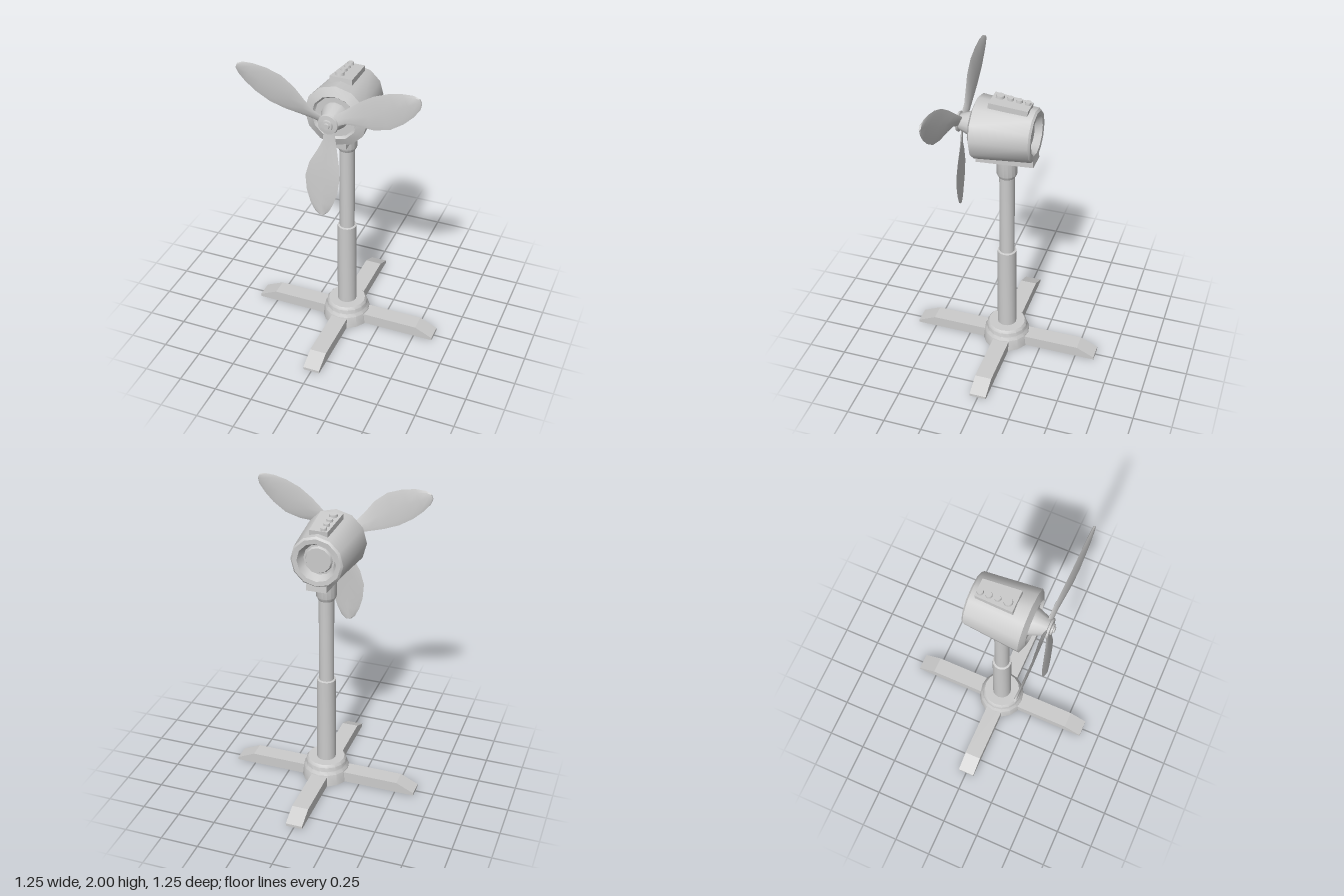
import * as THREE from 'three';
import { toCreasedNormals } from 'three/addons/utils/BufferGeometryUtils.js';

const material = new THREE.MeshStandardMaterial({ color: 0xcccccc });
const HUB_Y = 1.67;

function add(parent, name, geometry) {
  const mesh = new THREE.Mesh(geometry, material);
  mesh.name = name;
  parent.add(mesh);
  return mesh;
}

// Turned part from [radius, height] pairs, listed bottom to top
function turned(points, sides, crease = 0.6) {
  const profile = points.map(([r, y]) => new THREE.Vector2(r, y));
  return toCreasedNormals(new THREE.LatheGeometry(profile, sides), crease);
}

function outline(points) {
  return new THREE.Shape(points.map(([x, y]) => new THREE.Vector2(x, y)));
}

// Blade hanging down from the hub, lofted from thin lens cross-sections
function bladeGeometry() {
  // distance from hub, left edge, right edge, z, pitch
  const stations = [
    [0.03, -0.028, 0.028, 0.288, 0.4],
    [0.11, -0.033, 0.038, 0.292, 0.32],
    [0.18, -0.065, 0.05, 0.3, 0.2],
    [0.27, -0.115, 0.066, 0.31, 0.12],
    [0.37, -0.142, 0.073, 0.317, 0.08],
    [0.47, -0.134, 0.06, 0.321, 0.07],
    [0.55, -0.112, 0.035, 0.324, 0.07],
    [0.61, -0.083, 0.006, 0.325, 0.07],
    [0.635, -0.055, -0.02, 0.326, 0.07],
  ];
  const ring = 8;
  const positions = [];
  const index = [];
  stations.forEach(([u, left, right, z, pitch]) => {
    const mid = (left + right) / 2;
    const half = (right - left) / 2;
    for (let j = 0; j < ring; j++) {
      const a = (j / ring) * Math.PI * 2;
      const v = half * Math.cos(a);
      positions.push(mid + v, -u, z - pitch * v + 0.007 * Math.sin(a));
    }
  });
  for (let i = 0; i < stations.length - 1; i++) {
    for (let j = 0; j < ring; j++) {
      const a = i * ring + j;
      const b = i * ring + (j + 1) % ring;
      index.push(a, b, a + ring, b, b + ring, a + ring);
    }
  }
  // Root and tip caps; the section runs from right edge over the front to the left
  const last = (stations.length - 1) * ring;
  for (let j = 1; j < ring - 1; j++) {
    index.push(0, j + 1, j, last, last + j, last + j + 1);
  }
  // The loft runs downward, so reverse every face to point outward
  for (let k = 0; k < index.length; k += 3) {
    [index[k + 1], index[k + 2]] = [index[k + 2], index[k + 1]];
  }
  const geometry = new THREE.BufferGeometry();
  geometry.setAttribute('position', new THREE.Float32BufferAttribute(positions, 3));
  geometry.setIndex(index);
  return orientOutward(toCreasedNormals(geometry, 0.7));
}

// Flip a closed shell if its signed volume is negative
function orientOutward(geometry) {
  const p = geometry.attributes.position;
  const [a, b, c] = [0, 1, 2].map(() => new THREE.Vector3());
  let volume = 0;
  for (let i = 0; i < p.count; i += 3) {
    a.fromBufferAttribute(p, i);
    b.fromBufferAttribute(p, i + 1);
    c.fromBufferAttribute(p, i + 2);
    volume += a.dot(b.cross(c));
  }
  if (volume < 0) {
    for (let i = 0; i < p.count; i += 3) {
      b.fromBufferAttribute(p, i + 1);
      c.fromBufferAttribute(p, i + 2);
      p.setXYZ(i + 1, c.x, c.y, c.z);
      p.setXYZ(i + 2, b.x, b.y, b.z);
    }
    return toCreasedNormals(geometry, 0.7);
  }
  return geometry;
}

export function createModel() {
  const model = new THREE.Group();
  model.name = 'pedestalFan';

  // Base: stepped collar with four bevelled feet
  const base = new THREE.Group();
  base.name = 'base';
  model.add(base);
  add(base, 'baseCollar', turned([
    [0, 0], [0.16, 0], [0.152, 0.08], [0.137, 0.1], [0.135, 0.13], [0.122, 0.147], [0, 0.147],
  ], 16));
  const footShape = outline([[0.05, 0], [0.627, 0], [0.627, 0.018], [0.51, 0.073], [0.05, 0.073]]);
  const footGeometry = new THREE.ExtrudeGeometry(footShape, { depth: 0.11, bevelEnabled: false });
  footGeometry.translate(0, 0, -0.055);
  for (let i = 0; i < 4; i++) {
    add(base, 'foot', footGeometry).rotation.y = (i * Math.PI) / 2;
  }

  // Telescopic pole and the neck that carries the head
  add(model, 'lowerPole', turned([[0.064, 0.12], [0.062, 0.75], [0.048, 0.754]], 16));
  add(model, 'upperPole', turned([[0.049, 0.72], [0.049, 1.36]], 16));
  add(model, 'neck', turned([[0.045, 1.33], [0.052, 1.33], [0.065, 1.355], [0.065, 1.5]], 16));

  // Motor housing with recessed ends
  const head = new THREE.Group();
  head.name = 'head';
  model.add(head);
  const housing = add(head, 'motorHousing', turned([
    [0, -0.15], [0.08, -0.15], [0.088, -0.135], [0.1, -0.135], [0.125, -0.188],
    [0.155, -0.19], [0.168, -0.178], [0.201, 0.182], [0.145, 0.207], [0.132, 0.19], [0, 0.19],
  ], 12).rotateX(Math.PI / 2));
  housing.position.y = 1.66;

  // Mounting block under the housing
  const block = add(head, 'mountingBlock', new THREE.BoxGeometry(0.13, 0.07, 0.37));
  block.position.set(0, 1.488, 0);
  block.rotation.x = 0.075;

  // Control panel with a row of round buttons
  const panel = new THREE.Group();
  panel.name = 'controlPanel';
  panel.position.set(0, 1.825, -0.022);
  panel.rotation.x = -0.1;
  head.add(panel);
  const plate = outline([[-0.074, -0.122], [0.07, -0.122], [0.058, 0.122], [-0.058, 0.122]]);
  add(panel, 'panelPlate', new THREE.ExtrudeGeometry(plate, { depth: 0.037, bevelEnabled: false })
    .rotateX(-Math.PI / 2));
  [[-0.098, 0.021], [-0.043, 0.021], [0.012, 0.021], [0.077, 0.028]].forEach(([z, r]) => {
    const button = add(panel, 'button',
      toCreasedNormals(new THREE.CylinderGeometry(r * 0.9, r, 0.018, 12), 0.6));
    button.position.set(-0.026, 0.045, z);
  });

  // Propeller: tapered hub, nose cap and three blades
  const propeller = new THREE.Group();
  propeller.name = 'propeller';
  propeller.position.y = HUB_Y;
  model.add(propeller);
  add(propeller, 'hub', turned([
    [0.088, 0.18], [0.085, 0.21], [0.052, 0.295], [0.066, 0.3], [0.062, 0.312],
    [0.036, 0.315], [0.034, 0.325], [0.02, 0.326], [0.018, 0.335], [0, 0.335],
  ], 14).rotateX(Math.PI / 2));
  const blade = bladeGeometry();
  [0, 120, 246].forEach((degrees) => {
    add(propeller, 'blade', blade).rotation.z = THREE.MathUtils.degToRad(degrees);
  });

  return model;
}
